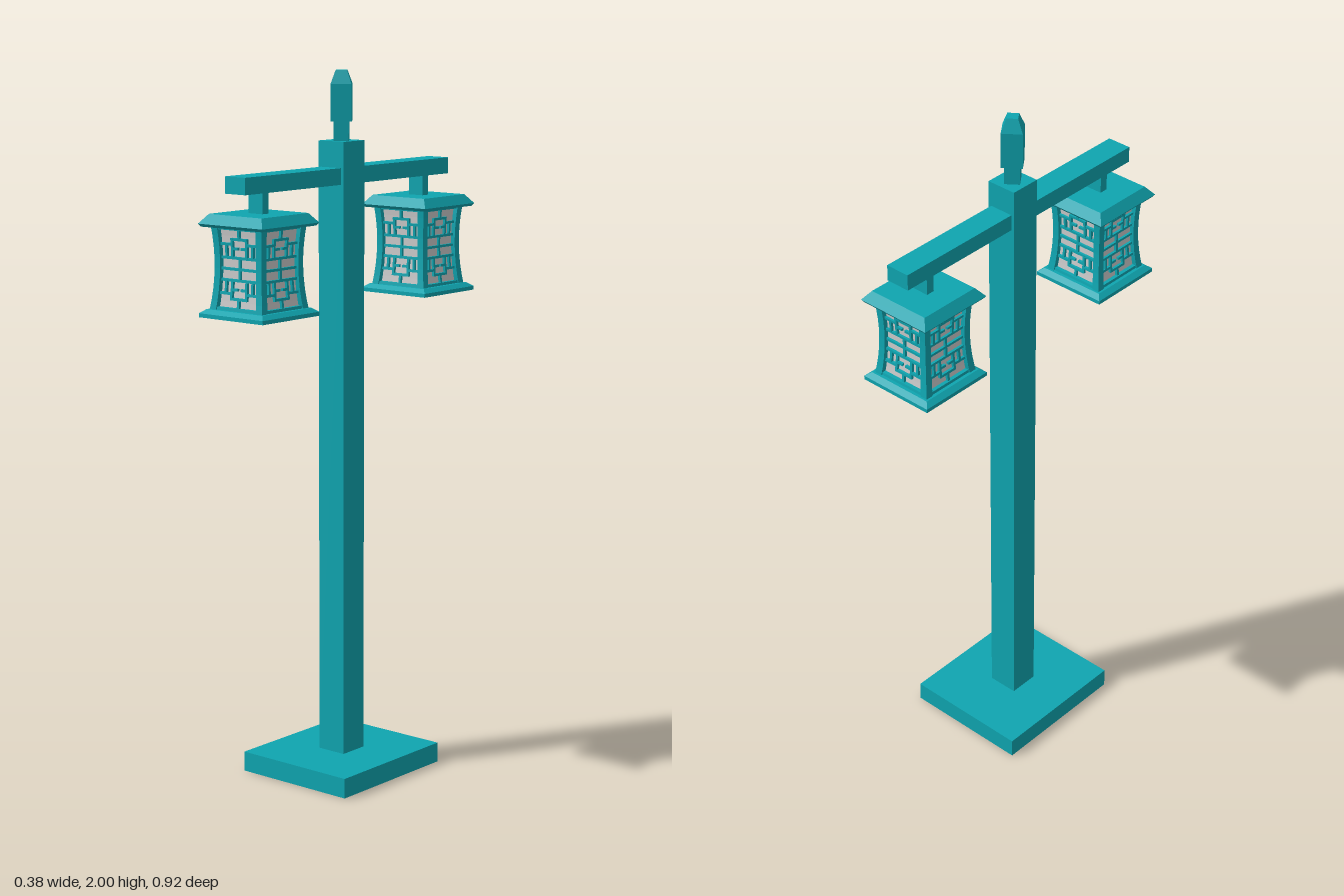
import * as THREE from 'three';

const teal = new THREE.MeshStandardMaterial({ color: 0x0fa5b0, flatShading: true });
const grey = new THREE.MeshStandardMaterial({ color: 0xcccccc, flatShading: true });

function add(parent, name, geometry, material = teal) {
  const mesh = new THREE.Mesh(geometry, material);
  mesh.name = name;
  parent.add(mesh);
  return mesh;
}

// Box given by its centre and size, optionally divided along its height
function box(w, h, d, x, y, z, rows = 1) {
  return new THREE.BoxGeometry(w, h, d, 1, rows, 1).translate(x, y, z);
}

// Square block with half-widths at the bottom and top
function taper(bottom, top, y0, y1) {
  return new THREE.CylinderGeometry(top * Math.SQRT2, bottom * Math.SQRT2, y1 - y0, 4)
    .rotateY(Math.PI / 4).translate(0, (y0 + y1) / 2, 0);
}

const BODY_LOW = 1.37, BODY_HIGH = 1.605;

// Draws the lantern body in at the waist so its corners flare at both ends
function pinch(geometry) {
  const p = geometry.attributes.position;
  for (let i = 0; i < p.count; i++) {
    const t = (p.getY(i) - BODY_LOW) / (BODY_HIGH - BODY_LOW);
    const u = (t - 0.55) / 0.55;
    const s = 1 + 0.13 * u * u;
    p.setX(i, p.getX(i) * s);
    p.setZ(i, p.getZ(i) * s);
  }
  return geometry;
}

// Lattice bars on one face: [x, y, width, height] about the face centre
function latticeBars() {
  const b = 0.007;
  const bars = [[0, 0, 0.13, b]];
  for (const v of [-1, 1]) {
    // square ring in the upper and lower half, with a stem to the rail
    bars.push([0, v * 0.03, 0.056, b], [0, v * 0.08, 0.056, b], [0, v * 0.095, b, 0.034]);
    bars.push([0, v * 0.015, b, 0.03]);
    for (const h of [-1, 1]) {
      bars.push([h * 0.025, v * 0.055, b, 0.056]);
      bars.push([h * 0.045, v * 0.066, 0.04, b], [h * 0.045, v * 0.03, 0.04, b]);
      bars.push([h * 0.046, v * 0.048, b, 0.036]);
      bars.push([h * 0.015, v * 0.055, 0.02, b]);
    }
  }
  return bars;
}

function createLantern() {
  const lantern = new THREE.Group();
  lantern.name = 'lantern';
  const mid = (BODY_LOW + BODY_HIGH) / 2, tall = BODY_HIGH - BODY_LOW;

  // Roof with sloping rim, and spreading foot plate
  add(lantern, 'roofRim', taper(0.109, 0.115, 1.598, 1.606));
  add(lantern, 'roof', taper(0.115, 0.094, 1.606, 1.632));
  add(lantern, 'footPlate', taper(0.115, 0.115, 1.354, 1.365));
  add(lantern, 'footSlope', taper(0.115, 0.1, 1.365, 1.376));
  add(lantern, 'hanger', box(0.05, 0.07, 0.025, 0, 1.66, 0));

  // Pale panes inside the frame
  add(lantern, 'panes', pinch(box(0.142, tall, 0.142, 0, mid, 0, 8)), grey);

  // Curved corner posts
  for (const x of [-1, 1]) for (const z of [-1, 1]) {
    add(lantern, 'cornerPost', pinch(box(0.02, tall, 0.02, x * 0.074, mid, z * 0.074, 8)));
  }

  // Rails and lattice on each of the four faces
  for (let side = 0; side < 4; side++) {
    const face = new THREE.Group();
    face.name = 'latticeFace';
    face.rotation.y = side * Math.PI / 2;
    lantern.add(face);
    add(face, 'topRail', pinch(box(0.14, 0.012, 0.014, 0, 1.598, 0.074)));
    add(face, 'bottomRail', pinch(box(0.14, 0.012, 0.014, 0, 1.378, 0.074)));
    for (const [x, y, w, h] of latticeBars()) {
      add(face, 'latticeBar', pinch(box(w, h, 0.009, x, mid + y, 0.0735, 2)));
    }
  }
  return lantern;
}

export function createModel() {
  const model = new THREE.Group();
  model.name = 'lampPost';

  add(model, 'base', box(0.376, 0.057, 0.422, 0, 0.0285, 0));
  add(model, 'post', box(0.09, 1.76, 0.09, 0, 0.927, 0));
  add(model, 'crossArm', box(0.072, 0.046, 0.876, 0, 1.712, 0));

  // Finial, turned against the post
  const finial = new THREE.Group();
  finial.name = 'finial';
  finial.rotation.y = Math.PI / 4 - 0.14;
  add(finial, 'finialNeck', taper(0.021, 0.021, 1.8, 1.862));
  add(finial, 'finialBody', taper(0.029, 0.029, 1.86, 1.962));
  add(finial, 'finialTip', taper(0.029, 0.0155, 1.962, 2));
  model.add(finial);

  // A lantern under each end of the arm
  for (const z of [-1, 1]) {
    const lantern = createLantern();
    lantern.position.z = z * 0.345;
    model.add(lantern);
  }
  return model;
}
